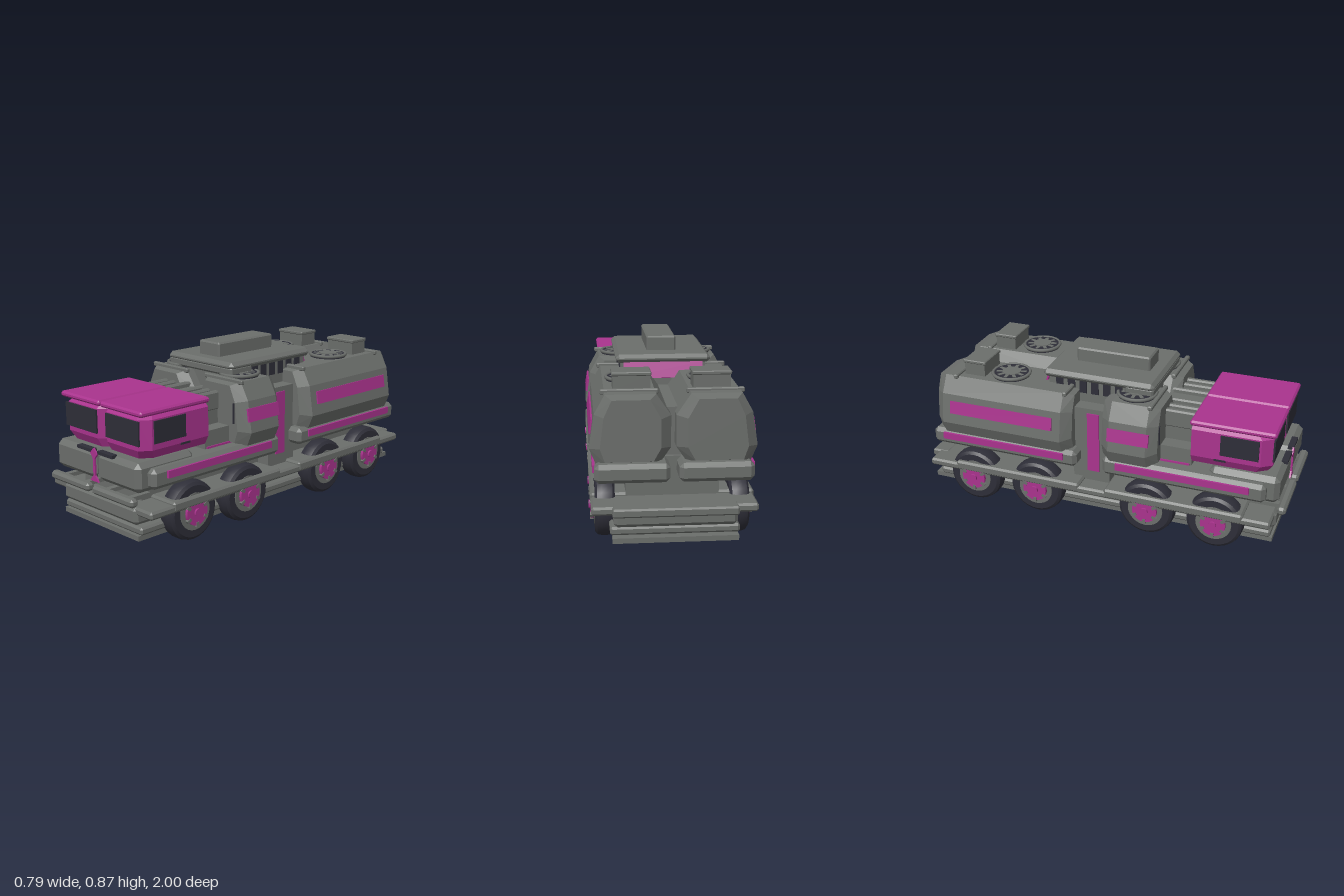
import * as THREE from 'three';
import { ConvexGeometry } from 'three/addons/geometries/ConvexGeometry.js';
import { toCreasedNormals } from 'three/addons/utils/BufferGeometryUtils.js';

const material = (name, color) => {
  const m = new THREE.MeshStandardMaterial({ color });
  m.name = name;
  return m;
};

export function createModel() {
  const grey = material('hull grey', 0x6b6e6b);
  const magenta = material('magenta trim', 0xa9338d);
  const dark = material('dark rubber and glass', 0x2e2e38);
  const model = new THREE.Group();
  model.name = 'armouredTransporter';

  const add = (name, geometry, mat, parent = model) => {
    const mesh = new THREE.Mesh(geometry, mat);
    mesh.name = name;
    parent.add(mesh);
    return mesh;
  };

  // Box between two corners, with optional chamfer on every edge
  const box = (name, mat, [x0, x1], [y0, y1], [z0, z1], c = 0) => {
    const half = [Math.abs(x1 - x0) / 2, Math.abs(y1 - y0) / 2, Math.abs(z1 - z0) / 2];
    let geometry;
    if (c) {
      const pts = [];
      for (const a of [-1, 1]) for (const b of [-1, 1]) for (const d of [-1, 1])
        for (let full = 0; full < 3; full++)
          pts.push(new THREE.Vector3(...[a, b, d].map((s, i) => s * (half[i] - (i === full ? 0 : c)))));
      geometry = new ConvexGeometry(pts);
    } else geometry = new THREE.BoxGeometry(...half.map(h => h * 2));
    const mesh = add(name, geometry, mat);
    mesh.position.set((x0 + x1) / 2, (y0 + y1) / 2, (z0 + z1) / 2);
    return mesh;
  };

  // Chassis and deck
  box('floorPlate', grey, [-0.29, 0.29], [0.055, 0.08], [-0.985, 0.94]);
  box('lowerBumper', grey, [-0.3, 0.3], [0.08, 0.12], [-0.95, 0.93], 0.01);
  box('chassisCore', grey, [-0.25, 0.25], [0.1, 0.2], [-0.9, 0.88]);
  box('upperBumper', grey, [-0.285, 0.285], [0.13, 0.22], [-0.99, 0.95], 0.018);
  box('deckRail', grey, [-0.385, 0.385], [0.18, 0.22], [-0.96, 0.94], 0.01);
  box('rearStep', grey, [-0.29, 0.29], [0.18, 0.222], [-1, -0.9], 0.008);
  for (const [a, b] of [[0.06, 0.8], [-0.8, -0.08]])
    box('raisedDeck', grey, [-0.388, 0.388], [0.185, 0.235], [a, b], 0.01);
  box('spine', grey, [-0.22, 0.22], [0.22, 0.41], [-0.8, 0.86]);
  box('upperSpine', grey, [-0.1, 0.1], [0.4, 0.64], [-0.78, 0.5]);
  box('engineHousing', grey, [-0.2, 0.2], [0.4, 0.59], [0.2, 0.51]);

  // Wheel, with its outer face toward +x before mirroring
  const tyreProfile = [[0.09, -0.047], [0.13, -0.047], [0.145, -0.036], [0.15, -0.015],
    [0.15, 0.015], [0.145, 0.036], [0.13, 0.047], [0.09, 0.047]];
  const tyre = toCreasedNormals(
    new THREE.LatheGeometry(tyreProfile.map(p => new THREE.Vector2(...p)), 28).rotateZ(-Math.PI / 2), 0.6);
  const disc = (r, w) => toCreasedNormals(new THREE.CylinderGeometry(r, r, w, 24).rotateZ(-Math.PI / 2), 0.6);
  const rim = disc(0.094, 0.09), hub = disc(0.066, 0.02);
  const makeWheel = (s, z) => {
    const wheel = new THREE.Group();
    wheel.name = 'wheel';
    wheel.position.set(s * 0.318, 0.15, z);
    if (s < 0) wheel.rotation.y = Math.PI;
    add('tyre', tyre, dark, wheel);
    add('rim', rim, grey, wheel).position.x = 0.006;
    add('hub', hub, magenta, wheel).position.x = 0.056;
    add('hubCap', disc(0.02, 0.014), magenta, wheel).position.x = 0.068;
    for (let i = 0; i < 6; i++) {
      const a = i * Math.PI / 3;
      const bolt = add('wheelLug', new THREE.BoxGeometry(0.016, 0.026, 0.016), grey, wheel);
      bolt.position.set(0.062, Math.cos(a) * 0.062, Math.sin(a) * 0.062);
      bolt.rotation.x = a;
    }
    model.add(wheel);
  };

  // Tank with a chamfered outline and tapered ends
  const tankSection = [[0.012, 0.47], [0.012, 0.62], [0.08, 0.72], [0.315, 0.72],
    [0.365, 0.63], [0.39, 0.47], [0.36, 0.4], [0.06, 0.4]];
  const tank = (name, s, z0, z1) => {
    const pts = [];
    for (const [z, kx, ky] of [[z0, 0.74, 0.9], [z0 + 0.05, 1, 1], [z1 - 0.05, 1, 1], [z1, 0.74, 0.9]])
      for (const [x, y] of tankSection)
        pts.push(new THREE.Vector3(s * (0.2 + (x - 0.2) * kx), 0.56 + (y - 0.56) * ky, z));
    add(name, new ConvexGeometry(pts), grey);
  };

  // Roof fan: dark well, grey ring, centre and blades
  const fan = (x, z) => {
    const group = new THREE.Group();
    group.name = 'roofFan';
    group.position.set(x, 0.728, z);
    add('fanWell', new THREE.CylinderGeometry(0.098, 0.098, 0.02, 28), dark, group);
    const ring = add('fanRing', new THREE.TorusGeometry(0.098, 0.009, 6, 28), grey, group);
    ring.rotation.x = Math.PI / 2;
    ring.position.y = 0.006;
    add('fanCentre', new THREE.CylinderGeometry(0.05, 0.05, 0.03, 16), grey, group);
    for (let i = 0; i < 10; i++) {
      const a = i * Math.PI / 5;
      const blade = add('fanBlade', new THREE.BoxGeometry(0.04, 0.024, 0.018), grey, group);
      blade.position.set(Math.cos(a) * 0.06, 0, Math.sin(a) * 0.06);
      blade.rotation.y = -a;
    }
    model.add(group);
  };

  for (const s of [1, -1]) {
    const span = (a, b) => [s * a, s * b];
    for (const z of [0.65, 0.285, -0.335, -0.7]) makeWheel(s, z);

    // Lower hull and its side stripes
    box('noseBlock', grey, span(0.012, 0.32), [0.295, 0.44], [0.6, 0.96], 0.025);
    box('frontHull', grey, span(0.02, 0.362), [0.31, 0.41], [0.04, 0.9], 0.02);
    box('rearHull', grey, span(0.02, 0.368), [0.32, 0.41], [-0.935, -0.1], 0.02);
    for (const [a, b] of [[0.12, 0.82], [-0.87, -0.17]])
      box('hullStripe', magenta, span(0.364, 0.376), [0.358, 0.394], [a, b]);
    box('frontBar', grey, span(0.015, 0.32), [0.238, 0.28], [0.955, 1], 0.012);
    for (const x of [0.08, 0.25])
      box('barBracket', grey, span(x - 0.015, x + 0.015), [0.25, 0.27], [0.84, 0.97]);

    // Cab half: stacked chamfered outlines
    const cab = [];
    for (const [y, inset] of [[0.44, 0.025], [0.485, 0], [0.632, 0], [0.655, 0.025]]) {
      const x0 = 0.002, x1 = 0.305 - inset, z0 = 0.5, z1 = 0.91 - inset;
      for (const [x, z] of [[x0, z0], [x1, z0], [x1, z1 - 0.055], [x1 - 0.04, z1], [x0 + 0.035, z1], [x0, z1 - 0.04]])
        cab.push(new THREE.Vector3(s * x, y, z));
    }
    add('cab', new ConvexGeometry(cab), magenta);
    box('cabRoof', magenta, span(0.004, 0.31), [0.652, 0.68], [0.49, 0.925], 0.009);
    box('windscreen', dark, span(0.036, 0.28), [0.51, 0.628], [0.909, 0.918]);
    box('sideWindow', dark, span(0.303, 0.311), [0.515, 0.625], [0.65, 0.845]);
    box('doorHandle', dark, span(0.303, 0.308), [0.477, 0.487], [0.62, 0.68]);
    box('wiper', dark, span(0.022, 0.136), [0.43, 0.446], [0.93, 0.962]);

    // Pipes between the cab and the front tanks
    for (const x of [0.06, 0.13, 0.19])
      box('enginePipe', grey, span(x - 0.016, x + 0.016), [0.57, 0.665], [0.1, 0.51], 0.008);
    box('engineFlank', grey, span(0.2, 0.28), [0.4, 0.5], [0.3, 0.5]);
    box('engineTrim', magenta, span(0.24, 0.286), [0.408, 0.42], [0.31, 0.49]);

    // Tanks, side panels and roof equipment
    tank('frontTank', s, 0.035, 0.335);
    tank('rearTank', s, -0.905, -0.13);
    for (const [a, b] of [[0.08, 0.3], [-0.81, -0.225]])
      box('tankPanel', magenta, span(0.374, 0.384), [0.527, 0.595], [a, b]).rotation.z = s * 0.155;
    box('tankSlot', dark, span(0.311, 0.319), [0.515, 0.62], [0.3, 0.34]);
    fan(s * 0.2, -0.525);
    fan(s * 0.2, 0.18);
    for (const z of [-0.79, -0.17, 0.29])
      box('tankRib', grey, span(0.065, 0.335), [0.708, 0.732], [z - 0.012, z + 0.012], 0.005);
    box('roofBox', grey, span(0.1, 0.275), [0.715, 0.79], [-0.76, -0.645]);
    box('roofBoxLid', grey, span(0.095, 0.28), [0.785, 0.803], [-0.766, -0.638], 0.004);

    // Central pillar between the tanks
    box('pillar', grey, span(0.05, 0.292), [0.22, 0.64], [-0.14, 0.06]);
    box('pillarStripe', magenta, span(0.29, 0.299), [0.28, 0.615], [-0.06, 0.005]);

    // Vent slats under the raised roof
    for (let i = 0; i < 6; i++) {
      const z = 0.085 - i * 0.065;
      box('ventSlat', dark, span(0.213, 0.22), [0.69, 0.765], [z - 0.02, z + 0.02]);
    }
  }

  // Raised roof unit
  box('roofNeck', grey, [-0.215, 0.215], [0.6, 0.77], [-0.3, 0.24]);
  box('roofFront', grey, [-0.235, 0.235], [0.73, 0.775], [0.12, 0.275], 0.01);
  box('roofSlab', grey, [-0.24, 0.24], [0.757, 0.8], [-0.328, 0.278], 0.018);
  box('roofHatch', grey, [-0.075, 0.075], [0.78, 0.873], [-0.2, 0.205], 0.008);
  box('roofRearPanel', magenta, [-0.2, 0.2], [0.68, 0.762], [-0.326, -0.317]).rotation.x = 0.3;

  // Centre emblem strip on the nose
  const strip = new THREE.Shape([[-0.032, 0.29], [0.032, 0.29], [0.007, 0.32], [0.007, 0.405],
    [0.027, 0.43], [0, 0.458], [-0.027, 0.43], [-0.007, 0.405], [-0.007, 0.32]]
    .map(p => new THREE.Vector2(...p)));
  add('noseStrip', new THREE.ExtrudeGeometry(strip, { depth: 0.009, bevelEnabled: false }), magenta)
    .position.z = 0.958;
  box('noseFiller', grey, [-0.02, 0.02], [0.3, 0.42], [0.6, 0.93]);
  return model;
}
